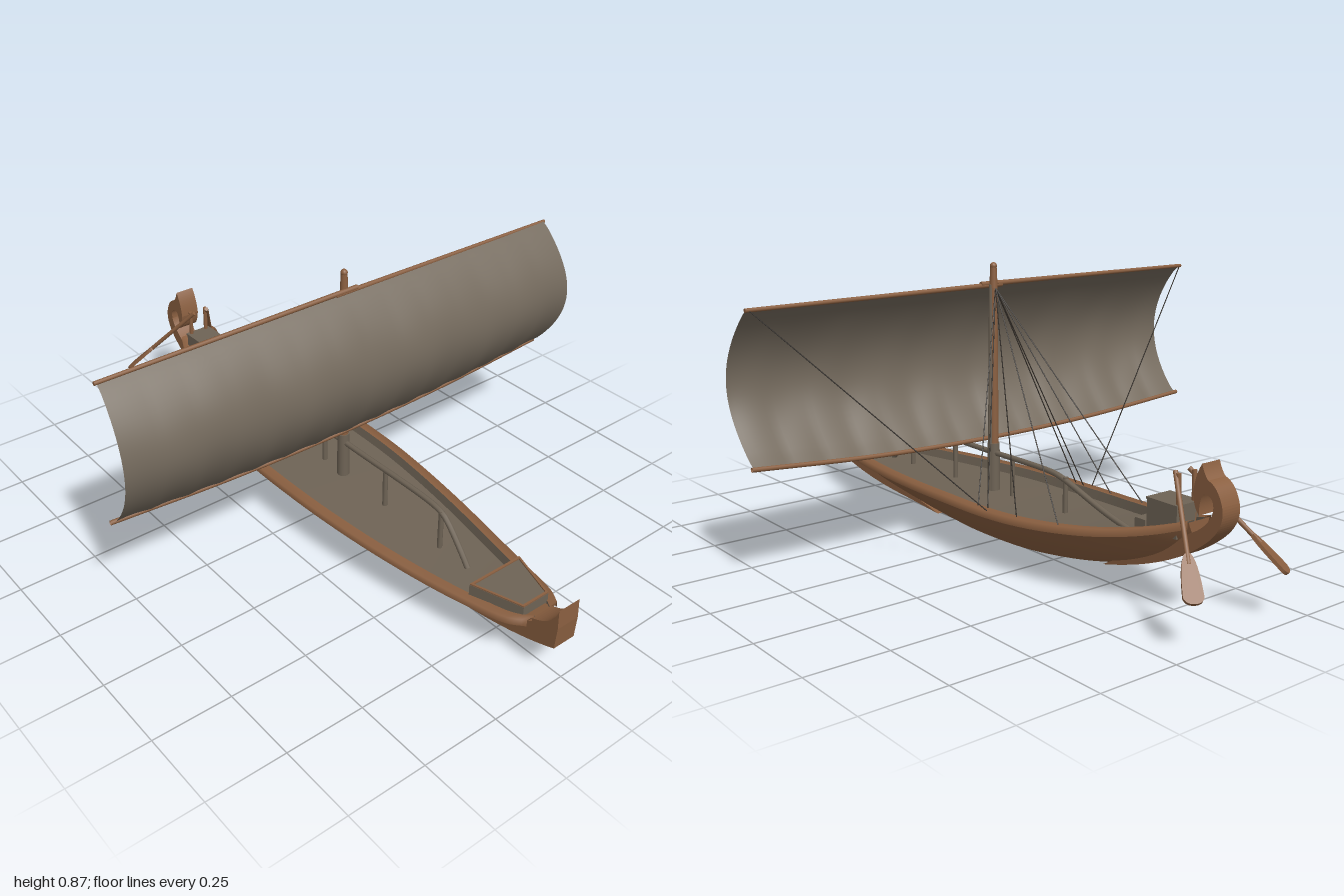
import * as THREE from 'three';

const mat = (name, color, side = THREE.FrontSide) => {
  const m = new THREE.MeshStandardMaterial({ color, side });
  m.name = name;
  return m;
};
const V = (x, y, z) => new THREE.Vector3(x, y, z);

export function createModel() {
  const wood = mat('brown wood', 0x8a5f40, THREE.DoubleSide);
  const plank = mat('grey planking', 0x6e6355, THREE.DoubleSide);
  const cloth = mat('sail cloth', 0x746a5d, THREE.DoubleSide);
  const rope = mat('dark rope', 0x2e2924);

  const boat = new THREE.Group();
  boat.name = 'sailingBoat';
  const add = (name, geo, material, parent = boat) => {
    const m = new THREE.Mesh(geo, material);
    m.name = name;
    parent.add(m);
    return m;
  };
  const box = (name, w, h, d, x, y, z, m) => add(name, new THREE.BoxGeometry(w, h, d), m).position.set(x, y, z);
  // straight round bar between two points
  const bar = (name, a, b, r0, r1, m, sides = 8) => {
    const d = b.clone().sub(a);
    const o = add(name, new THREE.CylinderGeometry(r1, r0, d.length(), sides), m);
    o.position.copy(a).add(b).multiplyScalar(0.5);
    o.quaternion.setFromUnitVectors(V(0, 1, 0), d.normalize());
  };
  const tube = (name, pts, r, m) =>
    add(name, new THREE.TubeGeometry(new THREE.CatmullRomCurve3(pts, false, 'centripetal'), 48, r, 8), m);
  // surface through rows of points
  const loft = (name, rows, m) => {
    const pos = [], idx = [], n = rows[0].length;
    rows.forEach(r => r.forEach(p => pos.push(p.x, p.y, p.z)));
    for (let i = 0; i < rows.length - 1; i++) for (let j = 0; j < n - 1; j++) {
      const a = i * n + j, b = a + n;
      idx.push(a, b, a + 1, b, b + 1, a + 1);
    }
    const g = new THREE.BufferGeometry();
    g.setAttribute('position', new THREE.Float32BufferAttribute(pos, 3));
    g.setIndex(idx);
    g.computeVertexNormals();
    return add(name, g, m);
  };

  // hull stations: z, half width, sheer height, keel height
  const stations = [
    [0.91, 0.055, 0.175, 0.15], [0.86, 0.085, 0.168, 0.115], [0.75, 0.112, 0.162, 0.08],
    [0.6, 0.142, 0.16, 0.052], [0.4, 0.175, 0.165, 0.03], [0.2, 0.198, 0.172, 0.012],
    [0.05, 0.208, 0.177, 0.005], [-0.15, 0.21, 0.18, 0.012], [-0.3, 0.2, 0.186, 0.03],
    [-0.45, 0.175, 0.198, 0.058], [-0.6, 0.135, 0.218, 0.098], [-0.73, 0.085, 0.247, 0.15],
    [-0.83, 0.04, 0.28, 0.215]];
  const beam = new THREE.CatmullRomCurve3(stations.map(s => V(s[1], s[2], s[0])));
  const keel = new THREE.CatmullRomCurve3(stations.map(s => V(s[1], s[3], s[0])));
  const N = 48, outer = [], rims = [[], []], walls = [[], []], deck = [];
  for (let i = 0; i <= N; i++) {
    const s = beam.getPoint(i / N), k = keel.getPoint(i / N);
    const w = s.x, row = [];
    for (let j = -12; j <= 12; j++) {
      const u = j / 12;
      row.push(V(w * u, k.y + (s.y - k.y) * Math.pow(Math.abs(u), 1.55), s.z));
    }
    outer.push(row);
    const inX = Math.max(w - 0.026, w * 0.5), lip = Math.max(w - 0.032, w * 0.45);
    [1, -1].forEach((e, q) => {
      rims[q].push([V(e * (w + 0.004), s.y - 0.018, s.z), V(e * (w + 0.004), s.y + 0.004, s.z), V(e * inX, s.y + 0.004, s.z)]);
      walls[q].push([V(e * inX, s.y + 0.004, s.z), V(e * lip, s.y - 0.024, s.z)]);
    });
    deck.push([V(-lip, s.y - 0.024, s.z), V(0, s.y - 0.02, s.z), V(lip, s.y - 0.024, s.z)]);
  }
  loft('hull', outer, wood);
  rims.forEach(r => loft('gunwale', r, wood));
  walls.forEach(r => loft('innerWall', r, plank));
  loft('deck', deck, plank);
  // closing faces at both hull ends
  [0, N].forEach(i => loft('hullEnd', [outer[i], outer[i].map(p => V(p.x, outer[i][0].y, p.z))], wood));

  // side profiles (z, y) extruded across the boat
  const profile = (name, start, curve, width, m) => {
    const s = new THREE.Shape();
    s.moveTo(...start);
    curve(s);
    const g = new THREE.ExtrudeGeometry(s, { depth: width, bevelEnabled: false, curveSegments: 16 });
    g.translate(0, 0, -width / 2).rotateY(-Math.PI / 2);
    add(name, g, m);
  };
  profile('bowPost', [0.998, 0.262], s => {
    s.quadraticCurveTo(0.985, 0.2, 0.91, 0.176);
    s.lineTo(0.87, 0.165);
    s.quadraticCurveTo(0.75, 0.09, 0.4, 0.04);
    s.lineTo(0.3, 0.019);
    s.lineTo(0.5, 0.034);
    s.quadraticCurveTo(0.8, 0.05, 0.995, 0.128);
    s.lineTo(1.0, 0.2);
  }, 0.078, wood);
  profile('sternPost', [-0.5, 0.07], s => {
    s.quadraticCurveTo(-0.75, 0.13, -0.87, 0.225);
    s.quadraticCurveTo(-0.95, 0.285, -0.935, 0.345);
    s.quadraticCurveTo(-0.92, 0.395, -0.885, 0.405);
    s.quadraticCurveTo(-0.87, 0.42, -0.863, 0.445);
    s.quadraticCurveTo(-0.84, 0.41, -0.835, 0.36);
    s.quadraticCurveTo(-0.84, 0.32, -0.858, 0.305);
    s.quadraticCurveTo(-0.855, 0.34, -0.87, 0.365);
    s.quadraticCurveTo(-0.91, 0.37, -0.905, 0.325);
    s.quadraticCurveTo(-0.89, 0.28, -0.83, 0.25);
    s.lineTo(-0.7, 0.18);
  }, 0.066, wood);

  // bow platform, tapering forward
  const bowShape = (inset) => new THREE.Shape([[-0.098, -0.725], [0.098, -0.725], [0.048, -0.885], [-0.048, -0.885]]
    .map(([x, y]) => new THREE.Vector2(x * inset, -0.805 + (y + 0.805) * inset)));
  const slab = (name, shape, y, h, m) => {
    const g = new THREE.ExtrudeGeometry(shape, { depth: h, bevelEnabled: false });
    add(name, g.rotateX(-Math.PI / 2).translate(0, y, 0), m);
  };
  slab('bowPlatform', bowShape(1), 0.14, 0.06, plank);
  const edging = bowShape(0.99);
  edging.holes.push(bowShape(0.9));
  slab('bowPlatformEdging', edging, 0.2, 0.004, wood);

  // helmsman's box and step
  box('sternBox', 0.086, 0.09, 0.11, 0, 0.268, -0.735, plank);
  box('sternBoxLid', 0.092, 0.006, 0.114, 0, 0.313, -0.735, plank);
  box('sternStep', 0.086, 0.045, 0.04, 0, 0.225, -0.655, plank);

  // raised truss over the deck with its props
  tube('truss', [V(0, 0.14, 0.62), V(0, 0.18, 0.59), V(0, 0.262, 0.515), V(0, 0.276, 0.48), V(0, 0.278, 0.1),
    V(0, 0.276, -0.25), V(0, 0.265, -0.3), V(0, 0.21, -0.47), V(0, 0.18, -0.59)], 0.009, plank);
  [0.5, 0.25, -0.05, -0.3].forEach(z => bar('trussProp', V(0, 0.14, z), V(0, 0.275, z), 0.008, 0.008, plank));

  // mast
  const mz = 0.045;
  bar('mast', V(0, 0.14, mz), V(0, 0.82, mz), 0.017, 0.012, wood, 16);
  bar('mastFoot', V(0, 0.14, mz), V(0, 0.31, mz), 0.02, 0.019, plank, 16);
  bar('mastHead', V(0, 0.8, mz), V(0, 0.865, mz), 0.013, 0.01, wood, 16);
  add('mastTip', new THREE.SphereGeometry(0.011, 12, 8), wood).position.set(0, 0.867, mz);
  bar('halyard', V(0.013, 0.15, mz), V(0.01, 0.81, mz), 0.009, 0.006, plank);

  // billowing square sail
  const footY = u => 0.325 + 0.037 * u * u;
  const sail = [];
  for (let i = 0; i <= 96; i++) {
    const u = i / 48 - 1, row = [];
    for (let j = 0; j <= 24; j++) {
      const v = j / 24, belly = Math.sin(Math.PI * v);
      const bottom = footY(u) + 0.005 * Math.abs(Math.sin(u * 22));
      const fold = 0.003 * Math.sin(u * 24 + v * 4) * (1 - v) + 0.002 * Math.sin(u * 13 - v * 3);
      row.push(V(u * (0.823 + 0.012 * belly), bottom + (0.806 - bottom) * v,
        0.06 + 0.122 * Math.pow(belly, 0.85) + fold * belly));
    }
    sail.push(row);
  }
  loft('sail', sail, cloth);
  bar('upperYard', V(-0.83, 0.81, 0.056), V(0.04, 0.812, 0.056), 0.006, 0.008, wood);
  bar('upperYard', V(-0.04, 0.807, 0.056), V(0.83, 0.803, 0.056), 0.008, 0.006, wood);
  tube('lowerYard', [-1, -0.5, 0, 0.5, 1].map(u => V(u * 0.83, footY(u), 0.057)), 0.007, wood);

  // rigging and steering oars on both sides
  [1, -1].forEach(e => {
    const top = V(0, 0.8, mz - 0.01);
    [[0.195, 0.18, -0.13], [0.19, 0.183, -0.17], [0.185, 0.188, -0.3], [0.165, 0.198, -0.46]]
      .forEach(([x, y, z]) => bar('stay', top, V(e * x, y, z), 0.0018, 0.0018, rope, 5));
    bar('brace', V(e * 0.82, 0.803, 0.053), V(e * 0.205, 0.182, -0.19), 0.0018, 0.0018, rope, 5);

    bar('oarPost', V(e * 0.03, 0.23, -0.785), V(e * 0.03, 0.4, -0.78), 0.007, 0.007, wood);
    const oar = new THREE.Group();
    oar.name = 'steeringOar';
    boat.add(oar);
    oar.position.set(e * 0.03, 0.395, -0.77);
    oar.lookAt(e * 0.178, 0.14, -0.985);
    const shaft = new THREE.CylinderGeometry(0.007, 0.007, 0.27, 8).rotateX(Math.PI / 2).translate(0, 0, 0.125);
    add('oarShaft', shaft, wood, oar);
    const b = new THREE.Shape();
    b.moveTo(-0.007, 0.23);
    b.quadraticCurveTo(-0.024, 0.25, -0.027, 0.35);
    b.quadraticCurveTo(-0.022, 0.368, 0, 0.368);
    b.quadraticCurveTo(0.022, 0.368, 0.027, 0.35);
    b.quadraticCurveTo(0.024, 0.25, 0.007, 0.23);
    const blade = new THREE.ExtrudeGeometry(b, { depth: 0.01, bevelEnabled: false });
    add('oarBlade', blade.translate(0, 0, -0.005).rotateX(Math.PI / 2), wood, oar);
  });
  return boat;
}
